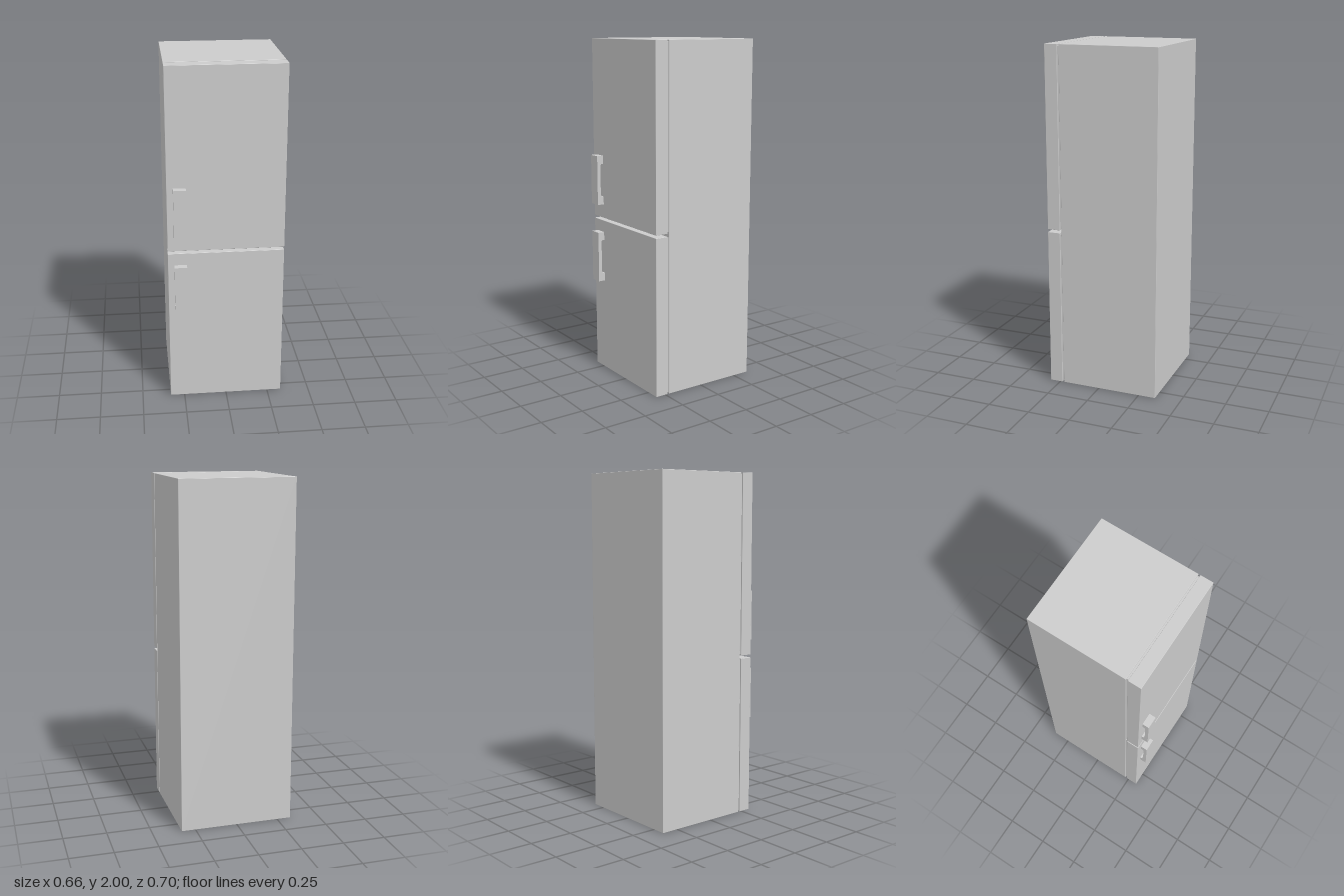
import * as THREE from 'three';
import { RoundedBoxGeometry } from 'three/addons/geometries/RoundedBoxGeometry.js';

const material = new THREE.MeshStandardMaterial({ color: 0xcccccc });
const HALF_WIDTH = 0.332;
const BACK = -0.352, CABINET_FRONT = 0.225, DOOR_BACK = 0.236, DOOR_FRONT = 0.312, HANDLE_FRONT = 0.352;

// Softly rounded slab between two heights and two depths
function slab(name, halfWidth, y0, y1, z0, z1, radius) {
  const geometry = new RoundedBoxGeometry(halfWidth * 2, y1 - y0, z1 - z0, 2, radius);
  const mesh = new THREE.Mesh(geometry, material);
  mesh.name = name;
  mesh.position.set(0, (y0 + y1) / 2, (z0 + z1) / 2);
  return mesh;
}

// Bracket handle: side profile with two feet, extruded across its width
function handle(y0, y1) {
  const foot = 0.048, chamfer = 0.007, grip = 0.331, z0 = DOOR_FRONT - 0.002;
  const profile = [
    [z0, y0], [HANDLE_FRONT, y0], [HANDLE_FRONT, y1], [z0, y1],
    [z0, y1 - foot], [grip - chamfer, y1 - foot], [grip, y1 - foot - chamfer],
    [grip, y0 + foot + chamfer], [grip - chamfer, y0 + foot], [z0, y0 + foot],
  ].map(([z, y]) => new THREE.Vector2(z, y));
  const geometry = new THREE.ExtrudeGeometry(new THREE.Shape(profile), { depth: 0.071, bevelEnabled: false });
  geometry.rotateY(-Math.PI / 2);
  const mesh = new THREE.Mesh(geometry, material);
  mesh.name = 'handle';
  mesh.position.x = -0.225;
  return mesh;
}

// Door panel with its recessed seal and handle
function door(name, y0, y1, handleBottom, handleTop) {
  const group = new THREE.Group();
  group.name = name;
  const inset = 0.008;
  group.add(
    slab('doorPanel', HALF_WIDTH, y0, y1, DOOR_BACK, DOOR_FRONT, 0.002),
    slab('doorSeal', HALF_WIDTH - inset, y0 + inset, y1 - inset, CABINET_FRONT - 0.002, DOOR_BACK + 0.002, 0.001),
    handle(handleBottom, handleTop),
  );
  return group;
}

export function createModel() {
  const fridge = new THREE.Group();
  fridge.name = 'fridgeFreezer';
  fridge.add(
    slab('cabinet', HALF_WIDTH, 0, 2, BACK, CABINET_FRONT, 0.002),
    door('upperDoor', 0.945, 2, 1.028, 1.32),
    door('lowerDoor', 0, 0.929, 0.557, 0.858),
  );
  return fridge;
}
